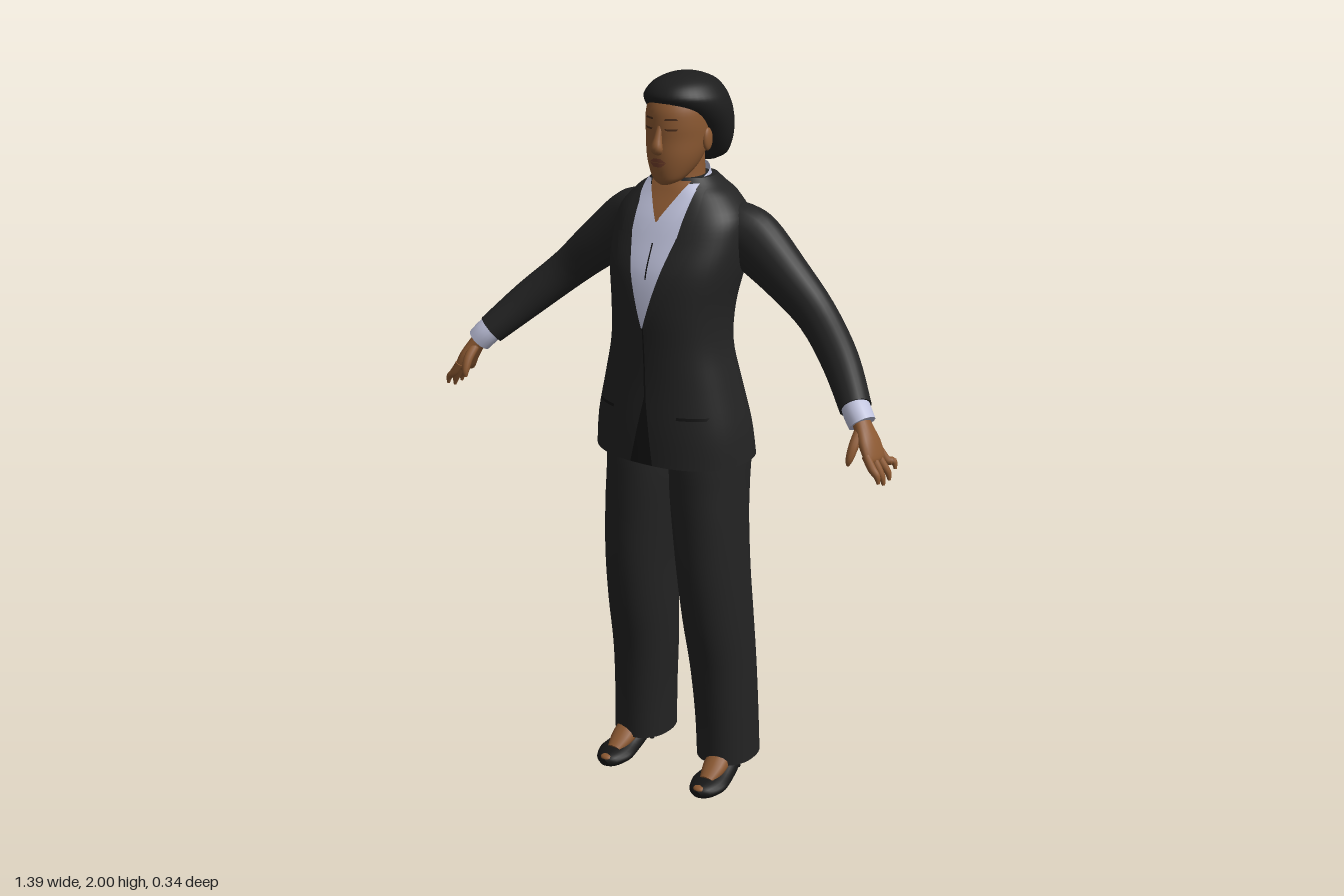
import * as THREE from 'three';

const paint = (name, color) => {
  const m = new THREE.MeshStandardMaterial({ color, side: THREE.DoubleSide });
  m.name = name;
  return m;
};
const suit = paint('suit black', 0x232323), hairMat = paint('hair black', 0x1d1d1d);
const seam = paint('seam black', 0x131313), shoeMat = paint('shoe black', 0x161616);
const shirt = paint('shirt lavender', 0xc0c3dd), skin = paint('skin brown', 0x8c5932);
const lip = paint('lip brown', 0x75402c), brow = paint('brow brown', 0x4a2d1b);

const lerp = THREE.MathUtils.lerp;
const V = (x, y, z) => new THREE.Vector3(x, y, z);

// Catmull-Rom refinement of rows of numbers
function refine(rows, k = 4) {
  const out = [], at = i => rows[Math.min(Math.max(i, 0), rows.length - 1)];
  for (let i = 0; i < rows.length - 1; i++) {
    for (let s = 0; s < k; s++) {
      const t = s / k;
      out.push(rows[i].map((p1, c) => {
        const p0 = at(i - 1)[c], p2 = at(i + 1)[c], p3 = at(i + 2)[c];
        return 0.5 * (2 * p1 + (p2 - p0) * t + (2 * p0 - 5 * p1 + 4 * p2 - p3) * t * t
          + (3 * p1 - p0 - 3 * p2 + p3) * t * t * t);
      }));
    }
  }
  out.push(rows.at(-1));
  return out;
}

// Skins a list of point rings, with optional flat caps
function stitch(rings, closed = true, caps = true) {
  const n = rings[0].length, pts = rings.flat(), idx = [];
  for (let i = 0; i < rings.length - 1; i++) {
    for (let j = 0; j < (closed ? n : n - 1); j++) {
      const a = i * n + j, b = i * n + (j + 1) % n;
      idx.push(a, a + n, b, b, a + n, b + n);
    }
  }
  if (caps) [rings[0], rings.at(-1)].forEach((ring, end) => {
    const base = pts.length, mid = V(0, 0, 0);
    ring.forEach(p => mid.addScaledVector(p, 1 / n));
    pts.push(...ring, mid);
    for (let j = 0; j < n; j++) {
      const a = base + j, b = base + (j + 1) % n;
      end ? idx.push(base + n, b, a) : idx.push(base + n, a, b);
    }
  });
  const g = new THREE.BufferGeometry().setFromPoints(pts);
  g.setIndex(idx);
  g.computeVertexNormals();
  return g;
}

// Body of horizontal rings: [y, halfWidth, zFront, zBack, xCentre]
function loft(rows, e = 2, n = 36) {
  const pw = v => Math.sign(v) * Math.abs(v) ** (2 / e);
  return stitch(refine(rows).map(([y, w, f, b, cx = 0]) => Array.from({ length: n }, (_, j) => {
    const a = j / n * Math.PI * 2;
    return V(cx + w * pw(Math.cos(a)), y, (f + b) / 2 + (f - b) / 2 * pw(Math.sin(a)));
  })));
}

// Limb along stations: [x, y, z, radius along ref, radius across]
function limb(rows, ref, n = 18) {
  const st = refine(rows), pos = st.map(s => V(s[0], s[1], s[2]));
  return stitch(st.map((s, i) => {
    const t = pos[Math.min(i + 1, st.length - 1)].clone().sub(pos[Math.max(i - 1, 0)]).normalize();
    const u = ref.clone().addScaledVector(t, -ref.dot(t)).normalize(), v = u.clone().cross(t);
    return Array.from({ length: n }, (_, j) => {
      const a = j / n * Math.PI * 2;
      return pos[i].clone().addScaledVector(u, Math.cos(a) * s[3]).addScaledVector(v, Math.sin(a) * s[4]);
    });
  }));
}

// Thin plate following the front (or back) of a loft; rows: [y, xStart, xEnd]
function plate(body, e, rows, off, side = 1) {
  const dense = refine(body), cols = 8;
  const zAt = (x, y) => {
    let i = 0;
    while (i < dense.length - 2 && dense[i + 1][0] < y) i++;
    const a = dense[i], b = dense[i + 1], t = THREE.MathUtils.clamp((y - a[0]) / (b[0] - a[0]), 0, 1);
    const [, w, f, k] = a.map((v, c) => lerp(v, b[c], t));
    const q = Math.min(Math.abs(x) / w, 0.97);
    return (f + k) / 2 + side * ((f - k) / 2 * (1 - q ** e) ** (1 / e) + off);
  };
  const steps = [];
  for (let i = 0; i < rows.length - 1; i++)
    for (let s = i ? 1 : 0; s <= 6; s++) steps.push(rows[i].map((v, c) => lerp(v, rows[i + 1][c], s / 6)));
  return stitch(steps.map(([y, l, r]) => Array.from({ length: cols + 1 }, (_, j) => {
    const x = lerp(r, l, j / cols);
    return V(x, y, zAt(x, y));
  })), false, false);
}

const TORSO = [
  [0.985, .226, .168, -.16], [1.08, .217, .165, -.145], [1.2, .189, .157, -.123], [1.3, .166, .156, -.112],
  [1.4, .166, .158, -.125], [1.5, .183, .145, -.148], [1.58, .19, .112, -.16], [1.64, .182, .083, -.16],
  [1.69, .14, .052, -.148], [1.715, .105, .038, -.132], [1.735, .083, .025, -.116]];
const HEAD = [
  [1.722, .015, .07, .035], [1.735, .04, .079, .0], [1.765, .06, .086, -.05], [1.8, .073, .088, -.08],
  [1.84, .08, .085, -.1], [1.88, .083, .084, -.1], [1.92, .08, .077, -.1], [1.96, .06, .05, -.08], [1.98, .03, .01, -.05]];
const HAIR = [
  [1.768, .055, -.06, -.13], [1.785, .085, -.05, -.145], [1.82, .104, -.03, -.152], [1.86, .113, -.002, -.16],
  [1.9, .114, .04, -.165], [1.93, .109, .07, -.16], [1.95, .1, .076, -.152], [1.975, .078, .055, -.13],
  [1.992, .045, .015, -.09], [2.0, .01, -.025, -.05]];
const LEG = [
  [1.08, .1, .1, -.115, .1], [.98, .1, .115, -.135, .102], [.9, .099, .118, -.127, .104], [.8, .096, .118, -.115, .111],
  [.65, .091, .113, -.117, .12], [.5, .089, .093, -.128, .126], [.35, .086, .064, -.138, .132],
  [.2, .083, .05, -.143, .139], [.07, .083, .045, -.146, .143]].reverse();

export function createModel() {
  const model = new THREE.Group();
  const add = (name, geo, mat, parent = model) => {
    const m = new THREE.Mesh(geo, mat);
    m.name = name;
    parent.add(m);
    return m;
  };
  const ball = (name, mat, p, r, parent) => {
    const m = add(name, new THREE.SphereGeometry(1, 24, 16), mat, parent);
    m.position.set(...p);
    m.scale.set(...r);
  };
  const onTorso = (name, mat, rows, off, side) => add(name, plate(TORSO, 2.3, rows, off, side), mat);
  const onFace = (name, mat, rows, off) => add(name, plate(HEAD, 2, rows, off), mat);

  // Jacket, shirt front and open neck
  add('jacket', loft(TORSO, 2.3, 48), suit);
  onTorso('shirtFront', shirt, [[1.36, -.003, .003], [1.5, -.045, .045], [1.6, -.072, .072], [1.71, -.08, .08]], .005);
  onTorso('openNeck', skin, [[1.63, -.002, .002], [1.7, -.045, .045], [1.73, -.06, .06]], .009);
  onTorso('shirtPlacket', seam, [[1.49, .003, .007], [1.58, .003, .007]], .008);
  onTorso('frontOpening', seam, [[.987, -.035, .035], [1.17, .004, .009], [1.36, -.002, .002]], .003);
  onTorso('backVent', seam, [[.987, -.008, .008], [1.17, -.002, .002]], .003, -1);

  // Neck and shirt collar
  add('neck', loft([[1.64, .06, .04, -.09], [1.7, .058, .036, -.092], [1.75, .055, .03, -.09], [1.82, .055, .03, -.09]]), skin);
  const collar = [[1.715, .082, .088], [1.74, .077, .082], [1.762, .07, .076]].map(([y, rx, rz]) =>
    Array.from({ length: 29 }, (_, j) => {
      const a = lerp(2.15, 7.27, j / 28);
      return V(rx * Math.cos(a), y - .025 * (Math.sin(a) + 1), -.025 + rz * Math.sin(a));
    }));
  add('shirtCollar', stitch(collar, false, false), shirt);

  // Head, hair and bun
  add('head', loft(HEAD, 2, 40), skin);
  add('hair', loft(HAIR, 2, 40), hairMat);
  ball('hairBun', hairMat, [0, 1.825, -.115], [.075, .064, .052]);
  add('nose', limb([[0, 1.875, .077, .008, .008], [0, 1.845, .087, .011, .011],
    [0, 1.82, .093, .017, .014], [0, 1.808, .086, .013, .008]], V(1, 0, 0)), skin);
  onFace('upperLip', lip, [[1.784, -.025, .025], [1.794, -.01, .01]], .004);
  onFace('lowerLip', lip, [[1.772, -.012, .012], [1.783, -.024, .024]], .005);

  for (const s of [1, -1]) {
    const side = s > 0 ? 'left' : 'right';
    const strip = rows => rows.map(([y, a, b]) => [y, a * s, b * s]);
    // Tailoring plates and face details
    onTorso(side + 'Lapel', suit, strip([[1.36, .003, .012], [1.5, .044, .09], [1.59, .068, .122], [1.592, .068, .105],
      [1.6, .071, .108], [1.66, .076, .108], [1.715, .08, .098]]), .009);
    onTorso(side + 'CollarWing', shirt, strip([[1.6, .03, .034], [1.64, .008, .062], [1.69, .038, .078], [1.725, .058, .08]]), .013);
    onTorso(side + 'PocketFlap', seam, strip([[1.122, .1, .17], [1.13, .1, .175]]), .004);
    onFace(side + 'Eye', brow, strip([[1.866, .022, .046], [1.871, .018, .05]]), .002);
    onFace(side + 'Eyebrow', brow, strip([[1.892, .016, .05], [1.897, .02, .045]]), .002);
    ball(side + 'Ear', skin, [s * .081, 1.835, -.02], [.01, .03, .018]);

    // Arm with cuff and hand, modelled on the left and mirrored by position
    const tube = (name, rows, mat, ref = V(0, 0, 1), n) =>
      add(side + name, limb(rows.map(([x, ...r]) => [x * s, ...r]), ref, n), mat);
    tube('Sleeve', [[.1, 1.62, -.06, .055, .055], [.15, 1.6, -.066, .066, .074], [.2, 1.568, -.07, .066, .083],
      [.3, 1.493, -.062, .057, .068], [.4, 1.408, -.052, .048, .056], [.5, 1.318, -.002, .046, .051],
      [.585, 1.23, .066, .041, .042]], suit, V(0, 0, 1), 24);
    tube('Cuff', [[.57, 1.248, .054, .036, .036], [.595, 1.222, .073, .037, .037], [.615, 1.199, .083, .035, .036]], shirt);
    tube('Palm', [[.6, 1.217, .077, .024, .022], [.622, 1.188, .086, .03, .021], [.643, 1.155, .092, .041, .02],
      [.66, 1.122, .096, .042, .016], [.664, 1.113, .097, .034, .011]], skin);
    [[.062, .046, 1.083], [.085, .075, 1.062], [.107, .105, 1.058], [.129, .133, 1.07]].forEach(([z0, z1, y], i) =>
      tube('Finger' + (i + 1), [[.653, 1.135, z0, .011, .011], [.673, 1.105, lerp(z0, z1, .5), .011, .011],
        [.688, y + .02, z1, .009, .009], [.693, y, z1, .004, .004]], skin, V(0, 0, 1), 10));
    tube('Thumb', [[.618, 1.185, .1, .014, .014], [.619, 1.155, .13, .013, .013],
      [.617, 1.125, .146, .01, .01], [.614, 1.107, .149, .004, .004]], skin, V(1, 0, 0), 10);

    // Trouser leg
    add(side + 'TrouserLeg', loft(LEG.map(r => [...r.slice(0, 4), r[4] * s]), 2.2), suit);

    // Open-toed shoe with slim heel
    tube('Shoe', [[.16, .02, .139, .014, .01], [.16, .022, .122, .036, .02], [.161, .026, .08, .053, .025],
      [.16, .035, .03, .047, .03], [.156, .056, -.03, .039, .034], [.152, .08, -.08, .036, .03],
      [.151, .083, -.105, .022, .022]], shoeMat, V(1, 0, 0));
    tube('Instep', [[.16, .042, .088, .022, .014], [.159, .062, .05, .034, .024], [.156, .09, .0, .036, .035],
      [.153, .12, -.04, .036, .036]], skin, V(1, 0, 0));
    ball(side + 'Toes', skin, [s * .16, .031, .122], [.021, .011, .017]);
    const heel = add(side + 'Heel', new THREE.CylinderGeometry(.016, .007, .08, 12), shoeMat);
    heel.position.set(s * .151, .04, -.09);
  }
  return model;
}
